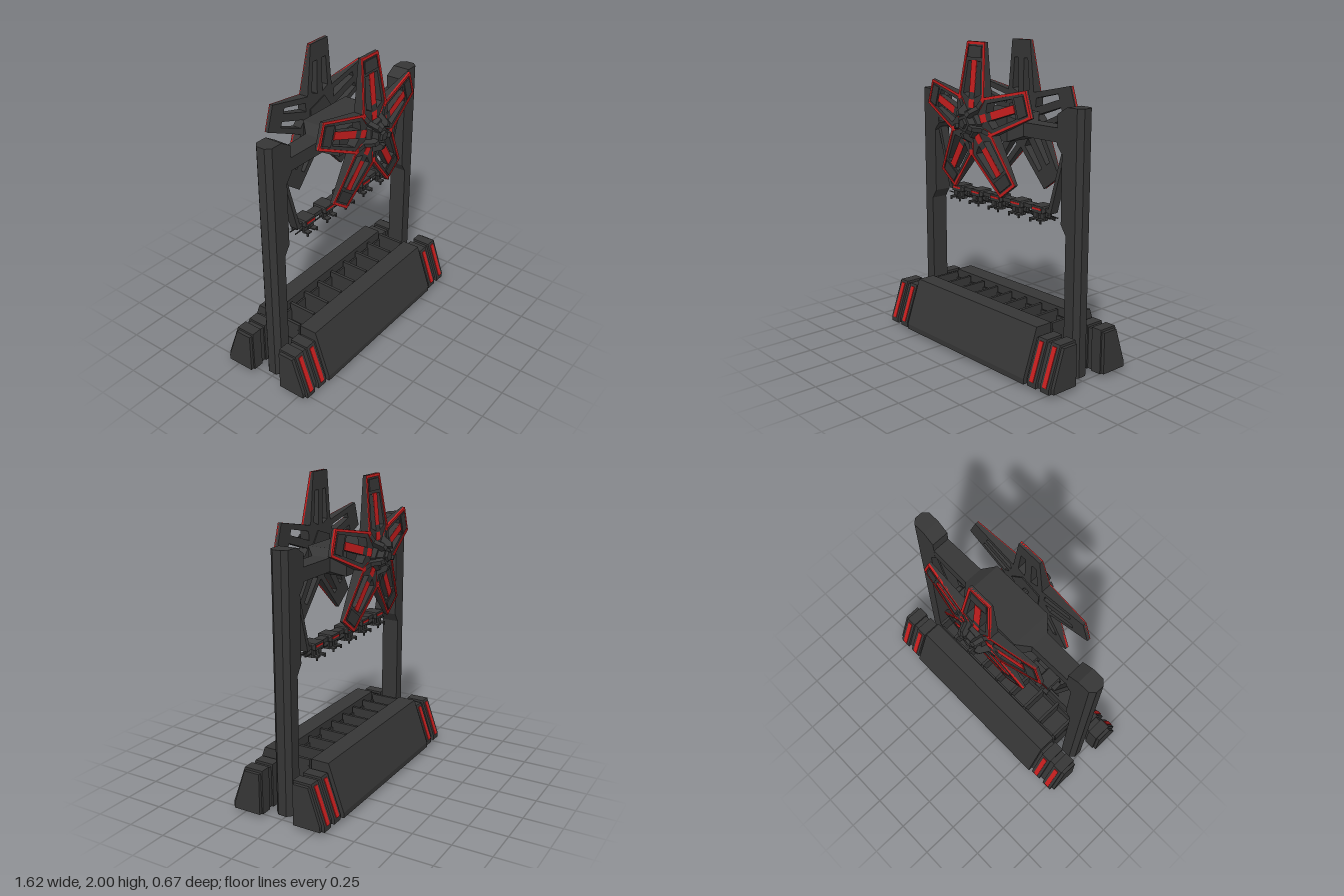
import * as THREE from 'three';

const dark = new THREE.MeshStandardMaterial({ color: 0x363636, flatShading: true, side: THREE.DoubleSide });
const red = new THREE.MeshStandardMaterial({ color: 0xc81e1e, flatShading: true, side: THREE.DoubleSide });

function add(parent, name, geometry, material = dark) {
  const mesh = new THREE.Mesh(geometry, material);
  mesh.name = name;
  parent.add(mesh);
  return mesh;
}

function box(parent, name, w, h, d, x, y, z, material) {
  const mesh = add(parent, name, new THREE.BoxGeometry(w, h, d), material);
  mesh.position.set(x, y, z);
  return mesh;
}

function shapeOf(points, holes = []) {
  const shape = new THREE.Shape(points.map(p => new THREE.Vector2(...p)));
  holes.forEach(h => shape.holes.push(new THREE.Path(h.map(p => new THREE.Vector2(...p)))));
  return shape;
}

const extrude = (points, depth, holes) =>
  new THREE.ExtrudeGeometry(shapeOf(points, holes), { depth, bevelEnabled: false });

// Rectangular sections along x: [x, bottom, top, half depth]
function loft(sections) {
  const g = new THREE.BoxGeometry(1, 1, 1, sections.length - 1, 1, 1);
  const p = g.attributes.position;
  for (let i = 0; i < p.count; i++) {
    const [x, y0, y1, z] = sections[Math.round((p.getX(i) + 0.5) * (sections.length - 1))];
    p.setXYZ(i, x, p.getY(i) < 0 ? y0 : y1, Math.sign(p.getZ(i)) * z);
  }
  return g;
}

// Profile given as [z, y], swept along x from x0 to x1
function sweepX(profile, x0, x1) {
  const g = extrude(profile.map(([z, y]) => [-z, y]), x1 - x0);
  return g.rotateY(Math.PI / 2).translate(x0, 0, 0);
}

// Arm geometry thinning toward the tip; lift raises it off the plate
function armLayer(points, holes, lift = 0) {
  const g = extrude(points, 1, holes);
  const p = g.attributes.position;
  for (let i = 0; i < p.count; i++) {
    const face = 0.235 - Math.max(0, p.getY(i) - 0.16) * 0.13;
    const back = lift ? face - 0.008 : 0.173;
    p.setZ(i, p.getZ(i) > 0.5 ? face + lift : back);
  }
  return g;
}

function makeWheel() {
  const wheel = new THREE.Group();
  wheel.name = 'wheel';
  const slot = [[0.025, 0.15], [0.078, 0.175], [0.06, 0.37], [0.025, 0.37]];
  const slots = [slot, slot.map(([x, y]) => [-x, y])];
  const plate = [[0, 0], [0.118, 0.162], [0.082, 0.485], [-0.082, 0.485], [-0.118, 0.162]];
  const trim = [[0.118, 0.162], [0.082, 0.485], [-0.082, 0.485], [-0.118, 0.162],
    [-0.07, 0.1], [-0.06, 0.108], [-0.102, 0.166], [-0.068, 0.469], [0.068, 0.469], [0.102, 0.166], [0.06, 0.108], [0.07, 0.1]];
  const spine = [[-0.024, 0.09], [0.024, 0.09], [0.024, 0.375], [-0.024, 0.375]];
  const panel = [[-0.064, 0.39], [0.064, 0.39], [0.058, 0.46], [-0.058, 0.46]];
  for (let i = 0; i < 5; i++) {
    const arm = new THREE.Group();
    arm.name = 'arm';
    arm.rotation.z = i * Math.PI * 2 / 5;
    add(arm, 'armPlate', armLayer(plate, slots));
    add(arm, 'armTrim', armLayer(trim, [], 0.005), red);
    add(arm, 'armSpine', armLayer(spine, [], 0.005), red);
    add(arm, 'tipPanel', armLayer(panel, [], 0.007));
    // Ridge leading from the hub into the valley between two arms
    const ridge = new THREE.Group();
    ridge.rotation.z = Math.PI / 5;
    ridge.name = 'hubRidge';
    const fin = add(ridge, 'hubFin', sweepX([[0.19, 0.03], [0.315, 0.06], [0.305, 0.09], [0.25, 0.12], [0.235, 0.19], [0.19, 0.19]], -0.014, 0.014));
    fin.position.y = 0;
    arm.add(ridge);
    wheel.add(arm);
  }
  // Five-sided hub with a stepped cap
  const cone = (name, r1, r0, z0, z1) => {
    const g = new THREE.CylinderGeometry(r1, r0, z1 - z0, 5).rotateX(Math.PI / 2);
    add(wheel, name, g.rotateZ(-Math.PI / 10 + Math.PI / 2 - Math.PI / 5 + Math.PI / 10).translate(0, 0, (z0 + z1) / 2))
      .rotation.z = Math.PI / 5;
  };
  cone('hubBase', 0.09, 0.125, 0.165, 0.265);
  cone('hubCap', 0.055, 0.075, 0.265, 0.3);
  cone('hubButton', 0.03, 0.035, 0.3, 0.315);
  add(wheel, 'axle', new THREE.CylinderGeometry(0.02, 0.02, 0.1, 10).rotateX(Math.PI / 2).translate(0, 0, 0.14));
  wheel.position.y = 1.515;
  return wheel;
}

function makeBarrier() {
  const barrier = new THREE.Group();
  barrier.name = 'barrier';
  add(barrier, 'barrierWall', sweepX([[0.11, 0.025], [0.335, 0.025], [0.335, 0.06], [0.23, 0.36], [0.11, 0.36]], -0.585, 0.585));
  const lower = [[0.12, 0.028], [0.305, 0.028], [0.305, 0.06], [0.225, 0.295], [0.12, 0.295]];
  const raised = [[0.11, 0.025], [0.325, 0.025], [0.325, 0.06], [0.235, 0.31], [0.11, 0.31]];
  const strip = [[0.31, 0.06], [0.33, 0.06], [0.246, 0.293], [0.226, 0.293]];
  for (const s of [-1, 1]) {
    add(barrier, 'endBlock', sweepX(lower, s * 0.6975 - 0.1125, s * 0.6975 + 0.1125));
    for (const x of [0.643, 0.752]) {
      add(barrier, 'endRib', sweepX(raised, s * x - 0.036, s * x + 0.036));
      add(barrier, 'lightStrip', sweepX(strip, s * x - 0.016, s * x + 0.016), red);
    }
  }
  return barrier;
}

function makeTower() {
  const tower = new THREE.Group();
  tower.name = 'tower';
  const profile = [[0.715, 0.025], [0.715, 1.655], [0.635, 1.655], [0.56, 1.61], [0.56, 1.43], [0.6, 1.38],
    [0.6, 0.96], [0.64, 0.9], [0.64, 0.025]];
  add(tower, 'column', extrude(profile, 0.116).translate(0, 0, -0.058));
  add(tower, 'columnEdge', loft([[0.715, 0.025, 1.655, 0.058], [0.745, 0.025, 1.655, 0.028]]));
  // Swing arm joining the tower head to the gondola
  const swing = [[0.6, 1.4], [0.575, 1.4], [0.462, 1.01], [0.462, 0.995], [0.485, 0.995]];
  add(tower, 'swingArm', extrude(swing, 0.06).translate(0, 0, -0.03));
  return tower;
}

function makeGondola() {
  const gondola = new THREE.Group();
  gondola.name = 'gondola';
  box(gondola, 'gondolaBar', 0.96, 0.025, 0.06, 0, 1.012, 0);
  for (const s of [-1, 1]) box(gondola, 'footRail', 1.0, 0.006, 0.006, 0, 0.966, s * 0.02);
  for (let i = -2; i <= 2; i++) {
    const x = i * 0.193;
    add(gondola, 'canopy', loft([[x - 0.06, 1.0, 1.015, 0.035], [x - 0.045, 0.99, 1.033, 0.05],
      [x + 0.045, 0.99, 1.033, 0.05], [x + 0.06, 1.0, 1.015, 0.035]]));
    box(gondola, 'seatCore', 0.055, 0.055, 0.04, x, 0.962, 0);
    for (const s of [-1, 1]) {
      box(gondola, 'canopyLight', 0.075, 0.012, 0.006, x, 1.015, s * 0.05, red);
      for (const dx of [-0.03, 0.03]) {
        box(gondola, 'seatBack', 0.035, 0.05, 0.012, x + dx, 0.968, s * 0.028);
        box(gondola, 'seatPan', 0.035, 0.01, 0.04, x + dx, 0.95, s * 0.046);
        box(gondola, 'seatHook', 0.01, 0.025, 0.01, x + dx * 1.5, 0.942, s * 0.06);
      }
    }
  }
  return gondola;
}

export function createModel() {
  const model = new THREE.Group();
  model.name = 'spinningRide';

  // Mirrored halves: z for wheels and barriers, x for towers
  for (const turn of [1, -1]) {
    for (const part of [makeWheel(), makeBarrier()]) {
      part.scale.z = turn;
      model.add(part);
    }
    const tower = makeTower();
    tower.scale.x = turn;
    model.add(tower);
  }

  // Cross beam swelling into a central drive housing
  add(model, 'crossBeam', loft([[-0.58, 1.445, 1.53, 0.057], [-0.28, 1.445, 1.53, 0.062], [-0.21, 1.41, 1.57, 0.135],
    [0.21, 1.41, 1.57, 0.135], [0.28, 1.445, 1.53, 0.062], [0.58, 1.445, 1.53, 0.057]]));
  model.add(makeGondola());

  // Central trough with cross ribs
  const trough = new THREE.Group();
  trough.name = 'trough';
  box(trough, 'troughFloor', 1.17, 0.22, 0.19, 0, 0.11, 0);
  for (let i = -4; i <= 4; i++) box(trough, 'troughRib', 0.02, 0.13, 0.19, i * 0.143, 0.285, 0);
  for (const s of [-1, 1]) box(trough, 'troughWall', 1.17, 0.1, 0.012, 0, 0.26, s * 0.09);
  model.add(trough);
  return model;
}
